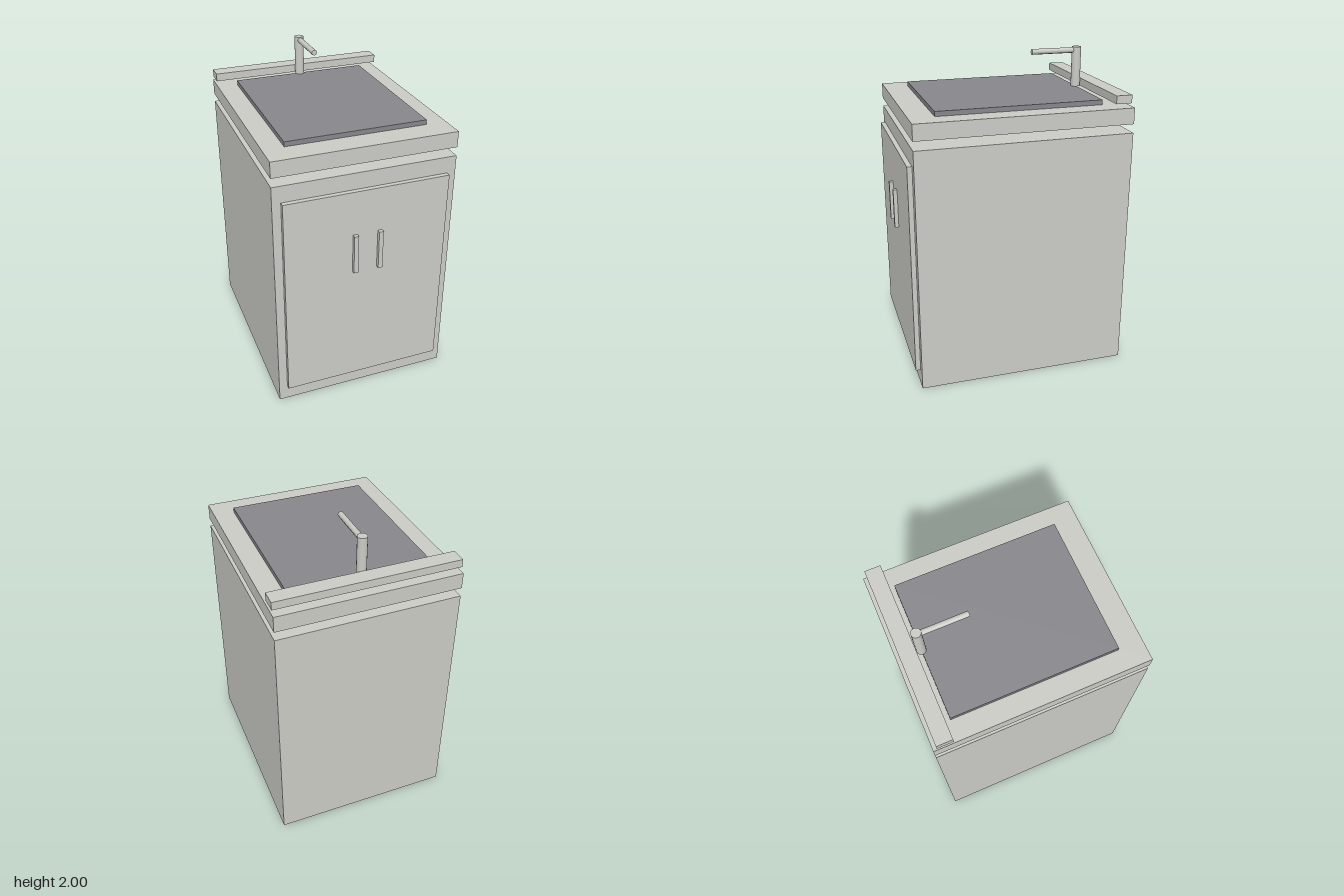
import * as THREE from 'three';

export function createModel() {
  const model = new THREE.Group();
  model.name = 'washbasinCabinet';

  const paleGrey = new THREE.MeshStandardMaterial({ color: 0xcbcbc6 });
  paleGrey.name = 'pale grey';
  const slateGrey = new THREE.MeshStandardMaterial({ color: 0x87868b });
  slateGrey.name = 'slate grey';

  function add(name, geometry, material) {
    const mesh = new THREE.Mesh(geometry, material);
    mesh.name = name;
    model.add(mesh);
    return mesh;
  }

  // Box given by its limits on each axis
  function box(name, material, [x0, x1], [y0, y1], [z0, z1]) {
    const mesh = add(name, new THREE.BoxGeometry(x1 - x0, y1 - y0, z1 - z0), material);
    mesh.position.set((x0 + x1) / 2, (y0 + y1) / 2, (z0 + z1) / 2);
    return mesh;
  }

  // Cabinet on a slightly inset base plate
  box('basePlate', slateGrey, [-0.54, 0.54], [0, 0.006], [-0.67, 0.615]);
  box('cabinet', paleGrey, [-0.57, 0.57], [0.002, 1.56], [-0.7, 0.645]);

  // Door panel and its pair of handles
  box('doorPanel', paleGrey, [-0.517, 0.517], [0.105, 1.455], [0.645, 0.675]);
  for (const [name, x] of [['leftHandle', 0.079], ['rightHandle', -0.079]]) {
    box(name, paleGrey, [x - 0.014, x + 0.014], [0.915, 1.17], [0.675, 0.7]);
  }

  // Raised countertop, basin and back ledge
  box('countertop', paleGrey, [-0.57, 0.57], [1.615, 1.715], [-0.7, 0.645]);
  box('basin', slateGrey, [-0.44, 0.44], [1.7, 1.745], [-0.547, 0.49]);
  box('backsplash', paleGrey, [-0.57, 0.57], [1.745, 1.795], [-0.677, -0.577]);

  // Tap: upright post with a spout reaching forward
  const post = add('tapPost', new THREE.CylinderGeometry(0.03, 0.03, 0.255, 16), paleGrey);
  post.position.set(0, 1.8725, -0.547);
  const spoutGeometry = new THREE.CylinderGeometry(0.018, 0.018, 0.3, 8);
  spoutGeometry.rotateX(Math.PI / 2);
  const spout = add('tapSpout', spoutGeometry, paleGrey);
  spout.position.set(0, 1.978, -0.39);

  return model;
}
